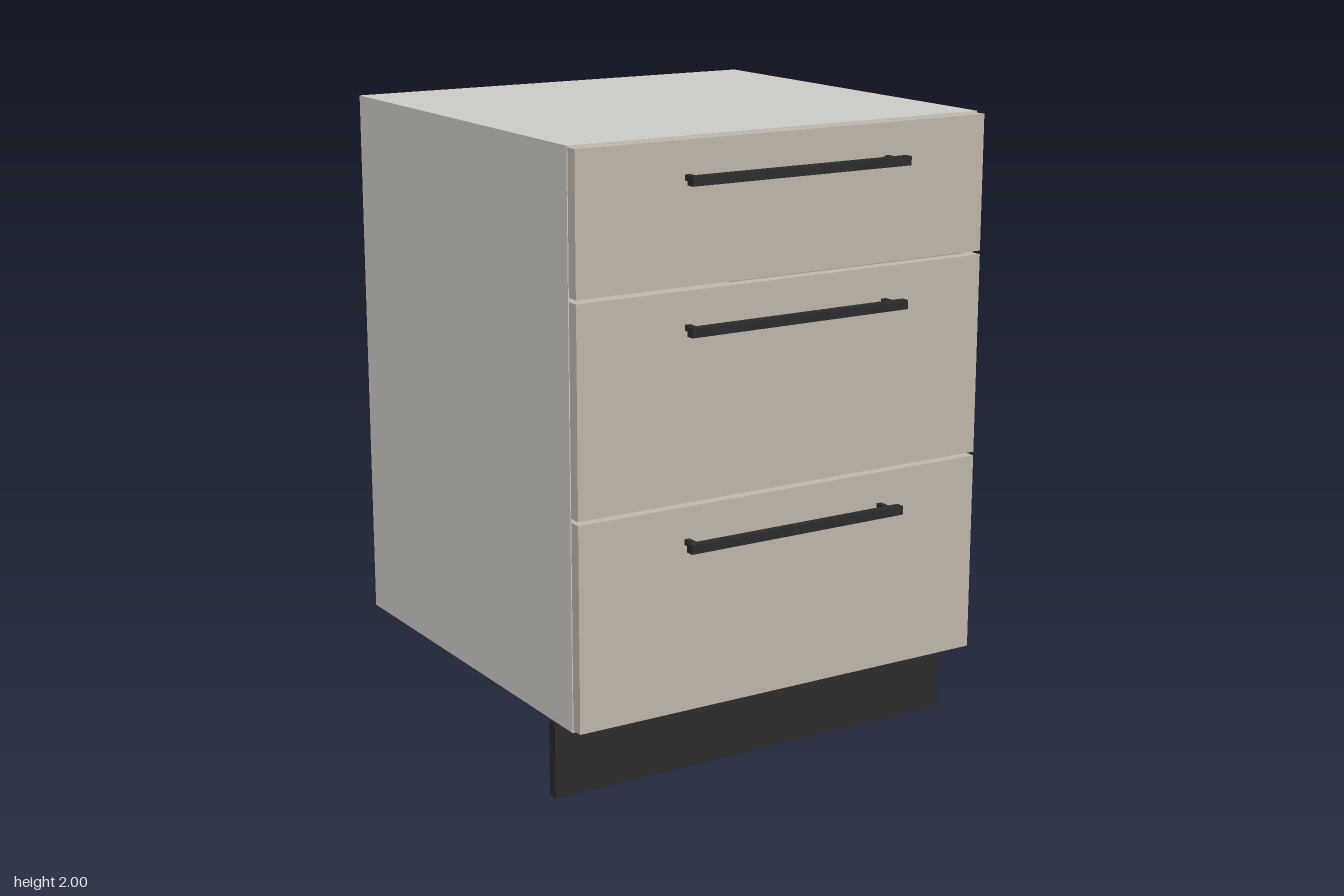
import * as THREE from 'three';

const shell = new THREE.MeshStandardMaterial({ color: 0xcccac5 });
const facing = new THREE.MeshStandardMaterial({ color: 0xbfb5a8 });
const black = new THREE.MeshStandardMaterial({ color: 0x2b2b2b });

// Box given by its minimum and maximum on each axis
function box(parent, name, material, [x0, x1], [y0, y1], [z0, z1]) {
  const mesh = new THREE.Mesh(new THREE.BoxGeometry(x1 - x0, y1 - y0, z1 - z0), material);
  mesh.position.set((x0 + x1) / 2, (y0 + y1) / 2, (z0 + z1) / 2);
  mesh.name = name;
  parent.add(mesh);
  return mesh;
}

export function createModel() {
  const model = new THREE.Group();
  model.name = 'drawerCabinet';

  const W = 0.73, T = 0.04, bottom = 0.25, top = 2;
  const back = -0.745, front = 0.625, face = 0.665;
  const inner = W - T;

  // Carcass: panels around a recessed back
  const carcass = new THREE.Group();
  carcass.name = 'carcass';
  model.add(carcass);
  box(carcass, 'leftSide', shell, [inner, W], [bottom, top], [back, front]);
  box(carcass, 'rightSide', shell, [-W, -inner], [bottom, top], [back, front]);
  box(carcass, 'topPanel', shell, [-inner, inner], [top - T, top], [back, front]);
  box(carcass, 'bottomPanel', shell, [-inner, inner], [bottom, bottom + T], [back, front]);
  box(carcass, 'backPanel', shell, [-inner, inner], [bottom + T, top - T], [back + 0.012, back + 0.035]);

  // Drawers: a front panel, with a bar handle on two posts
  const drawers = [
    { y: [1.567, 1.995], handle: 1.886 },
    { y: [0.914, 1.555], handle: 1.446 },
    { y: [0.257, 0.902], handle: 0.793 },
  ];
  drawers.forEach(({ y, handle }, i) => {
    const drawer = new THREE.Group();
    drawer.name = `drawer${i + 1}`;
    model.add(drawer);
    box(drawer, 'drawerFront', facing, [-0.727, 0.727], y, [front, face]);
    box(drawer, 'handleBar', black, [-0.388, 0.388], [handle - 0.014, handle + 0.014], [0.717, 0.745]);
    for (const x of [-0.355, 0.355]) {
      box(drawer, 'handlePost', black, [x - 0.009, x + 0.009], [handle - 0.009, handle + 0.009], [face, 0.718]);
    }
  });

  // Plinth board set back under the front
  box(model, 'plinth', black, [-W, W], [0, 0.245], [0.48, 0.516]);

  return model;
}
